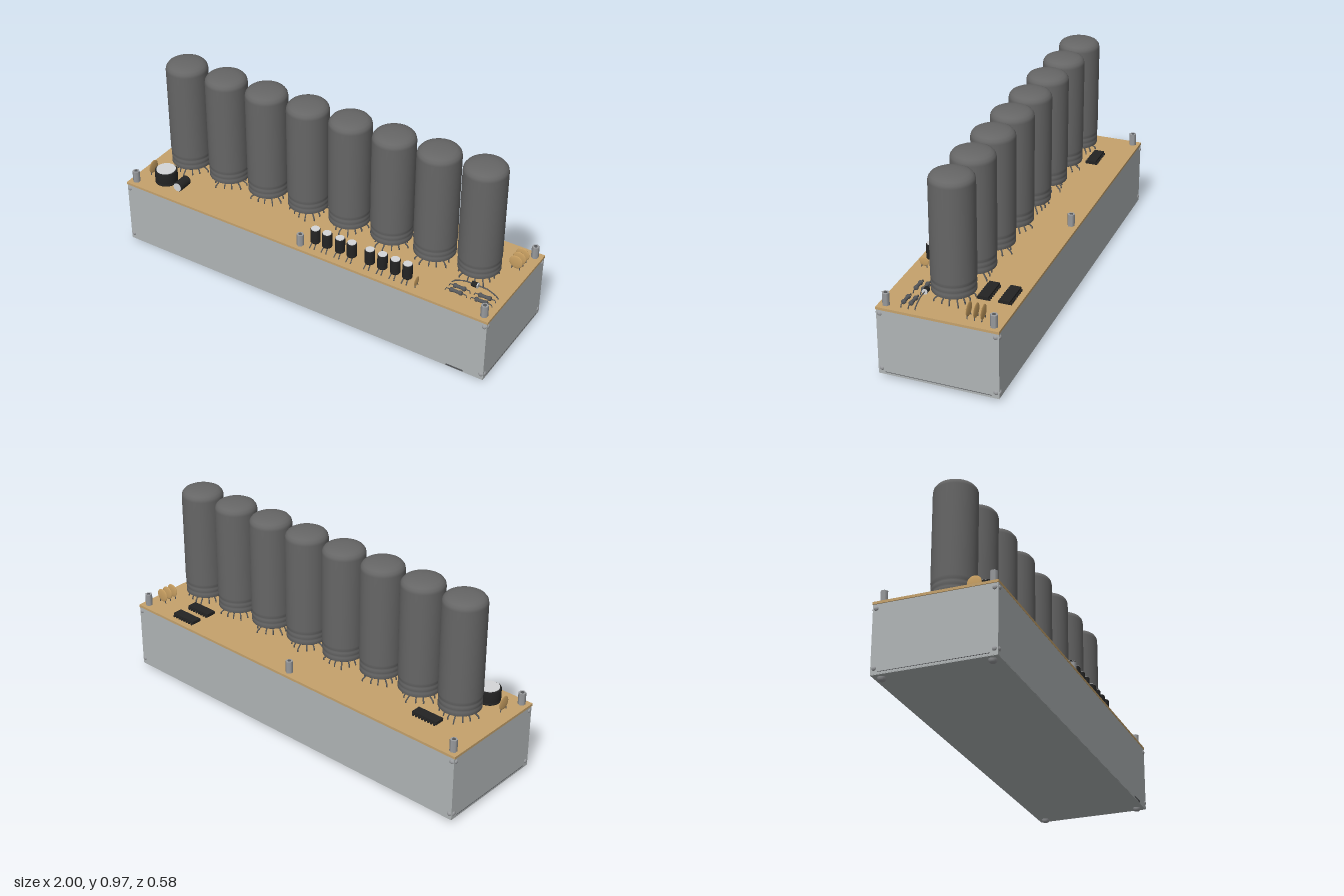
import * as THREE from 'three';

const mat = (name, color) => Object.assign(new THREE.MeshStandardMaterial({ color }), { name });

export function createModel() {
  const root = new THREE.Group();
  root.name = 'tubeBoardOnCase';
  const caseGrey = mat('caseGrey', 0xb0b5b6);
  const boardTan = mat('boardTan', 0xc5a26c);
  const tubeGrey = mat('tubeGrey', 0x666666);
  const metal = mat('metal', 0x9b9da0);
  const black = mat('black', 0x242424);
  const silver = mat('silver', 0xd4d6d8);
  const leadGrey = mat('leadGrey', 0x55575a);
  const ceramic = mat('ceramic', 0xc9a062);

  const add = (parent, name, geo, m, x = 0, y = 0, z = 0) => {
    const mesh = new THREE.Mesh(geo, m);
    mesh.name = name;
    mesh.position.set(x, y, z);
    parent.add(mesh);
    return mesh;
  };
  const group = (name, x = 0, y = 0, z = 0) => {
    const g = new THREE.Group();
    g.name = name;
    g.position.set(x, y, z);
    root.add(g);
    return g;
  };
  const box = (p, name, w, h, d, m, x, y, z) => add(p, name, new THREE.BoxGeometry(w, h, d), m, x, y, z);
  const cyl = (p, name, r, h, m, x, y, z, n = 20) => add(p, name, new THREE.CylinderGeometry(r, r, h, n), m, x, y, z);
  const wire = (p, name, pts, r, m) => {
    const path = new THREE.CurvePath();
    const v = pts.map((a) => new THREE.Vector3(...a));
    for (let i = 1; i < v.length; i++) path.add(new THREE.LineCurve3(v[i - 1], v[i]));
    return add(p, name, new THREE.TubeGeometry(path, (v.length - 1) * 3, r, 6), m);
  };
  const lathe = (pts, n) => new THREE.LatheGeometry(pts.map((a) => new THREE.Vector2(...a)), n);
  const TOP = 0.355;

  // Case: base, two long walls and two end panels
  const shell = group('case');
  box(shell, 'basePlate', 1.99, 0.012, 0.566, caseGrey, 0, 0.023, 0);
  for (const s of [-1, 1]) {
    box(shell, 'longWall', 1.992, 0.324, 0.012, caseGrey, 0, 0.181, s * 0.278);
    box(shell, 'endPanel', 0.01, 0.324, 0.562, caseGrey, s * 0.991, 0.181, 0);
    box(shell, 'endSeam', 0.002, 0.002, 0.5, leadGrey, s * 0.9965, 0.03, 0);
  }
  box(shell, 'slot', 0.085, 0.008, 0.004, leadGrey, 0.85, 0.025, 0.2835);
  box(root, 'circuitBoard', 2, 0.012, 0.57, boardTan, 0, 0.349, 0);

  // Screws on the walls, domed screws beneath and hexagonal posts above
  const dome = lathe([[0, 0.007], [0.006, 0.006], [0.01, 0.003], [0.011, 0]].reverse(), 16);
  const foot = lathe([[0, 0], [0.012, 0.002], [0.018, 0.007], [0.02, 0.018]], 20);
  for (const sx of [-1, 1]) {
    for (const sz of [-1, 1]) {
      for (const y of [0.047, 0.323]) {
        add(root, 'longWallScrew', dome, metal, sx * 0.983, y, sz * 0.283).rotation.x = sz * Math.PI / 2;
        add(root, 'endScrew', dome, metal, sx * 0.995, y, sz * 0.268).rotation.z = -sx * Math.PI / 2;
      }
      add(root, 'footScrew', foot, metal, sx * 0.96, 0, sz * 0.247);
    }
  }
  for (const x of [-0.964, 0, 0.964]) {
    for (const z of [-0.25, 0.25]) {
      cyl(root, 'standoff', 0.018, 0.06, metal, x, TOP + 0.03, z, 6);
      cyl(root, 'standoffHole', 0.008, 0.003, leadGrey, x, TOP + 0.0605, z, 12);
    }
  }

  // Row of eight display tubes with grooved bases and splayed pins
  const tubeGeo = lathe([[0, 0.4], [0.095, 0.4], [0.1, 0.404], [0.1, 0.423], [0.096, 0.428], [0.1, 0.433],
    [0.1, 0.449], [0.097, 0.454], [0.1, 0.459], [0.1, 0.468], [0.102, 0.475], [0.102, 0.925], [0.099, 0.939],
    [0.09, 0.951], [0.075, 0.959], [0.05, 0.964], [0.025, 0.9665], [0, 0.967]], 40);
  for (let i = 0; i < 8; i++) {
    const g = group('tube', -0.805 + i * 0.23);
    add(g, 'glass', tubeGeo, tubeGrey);
    for (let k = 0; k < 13; k++) {
      const a = (k / 13) * Math.PI * 2 + i * 0.4;
      const c = Math.cos(a), s = Math.sin(a), r = k % 3 ? 0.075 : 0.093;
      wire(g, 'pin', [[c * 0.055, 0.402, s * 0.055], [c * 0.058, 0.39, s * 0.058],
        [c * r, 0.365, s * r], [c * r, TOP, s * r]], 0.0035, leadGrey);
    }
  }

  // Electrolytic capacitor, standing along its own y axis
  const can = (p, r, h) => {
    add(p, 'sleeve', lathe([[0, 0], [r * 0.9, 0], [r, h * 0.05], [r, h * 0.14], [r * 0.93, h * 0.19],
      [r, h * 0.24], [r, h * 0.95], [r * 0.93, h], [0, h]], 24), black);
    cyl(p, 'canTop', r * 0.86, 0.004, silver, 0, h + 0.001, 0, 24);
  };
  for (const x of [0.064, 0.128, 0.198, 0.262, 0.358, 0.425, 0.492, 0.556]) {
    const g = group('smallCapacitor', x, 0.377, 0.218);
    can(g, 0.024, 0.074);
    for (const s of [-1, 1]) {
      wire(g, 'lead', [[s * 0.009, 0.002, 0.004], [s * 0.011, -0.007, 0.02], [s * 0.013, -0.022, 0.034]], 0.003, leadGrey);
    }
  }
  can(group('largeCapacitor', -0.837, TOP + 0.003, 0.173), 0.056, 0.07);
  const lying = group('lyingCapacitor', -0.74, TOP + 0.025, 0.137);
  lying.rotation.x = Math.PI / 2;
  can(lying, 0.025, 0.077);

  // Dual in-line chips with legs
  for (const [x, z] of [[-0.722, -0.125], [0.716, -0.125], [0.716, -0.225]]) {
    const g = group('chip', x, TOP, z);
    box(g, 'chipBody', 0.137, 0.016, 0.048, black, 0, 0.011, 0);
    for (let i = 0; i < 8; i++) {
      for (const s of [-1, 1]) box(g, 'chipLeg', 0.008, 0.011, 0.008, black, -0.06 + i * 0.0171, 0.006, s * 0.027);
    }
  }

  // Ceramic disc capacitors, thin along their own z axis
  const disc = (x, z, r, turn) => {
    const g = group('discCapacitor', x, TOP, z);
    g.rotation.y = turn;
    add(g, 'disc', new THREE.SphereGeometry(r, 20, 12), ceramic, 0, r + 0.006, 0).scale.z = 0.14;
    for (const s of [-1, 1]) wire(g, 'lead', [[s * r * 0.5, r * 0.6, 0], [s * r * 0.6, 0, 0]], 0.0025, leadGrey);
  };
  for (const z of [-0.188, -0.155, -0.121]) disc(0.93, z, 0.034, 0);
  disc(-0.935, 0.15, 0.034, Math.PI / 2);
  disc(0.61, 0.23, 0.023, Math.PI / 2);

  // Axial resistors
  const body = lathe([[0, -0.031], [0.008, -0.031], [0.011, -0.027], [0.011, -0.019], [0.008, -0.015],
    [0.008, 0.015], [0.011, 0.019], [0.011, 0.027], [0.008, 0.031], [0, 0.031]], 14);
  for (const x of [0.785, 0.912]) {
    for (const z of [0.145, 0.18]) {
      const g = group('resistor', x, TOP + 0.012, z);
      add(g, 'resistorBody', body, leadGrey).rotation.z = Math.PI / 2;
      wire(g, 'lead', [[-0.054, -0.012, 0], [-0.052, 0, 0], [0.052, 0, 0], [0.054, -0.012, 0]], 0.0025, leadGrey);
    }
  }

  // Raised diode with arched leads
  const diode = group('diode', 0.845, TOP, 0.115);
  cyl(diode, 'diodeBody', 0.013, 0.03, black, 0, 0.033, 0, 12).rotation.z = Math.PI / 2;
  cyl(diode, 'diodeBand', 0.0135, 0.004, silver, 0.015, 0.033, 0, 12).rotation.z = Math.PI / 2;
  wire(diode, 'lead', [[-0.115, 0, 0], [-0.1, 0.015, 0], [-0.05, 0.033, 0], [0.06, 0.033, 0],
    [0.105, 0.015, 0], [0.12, 0, 0]], 0.003, leadGrey);
  return root;
}
